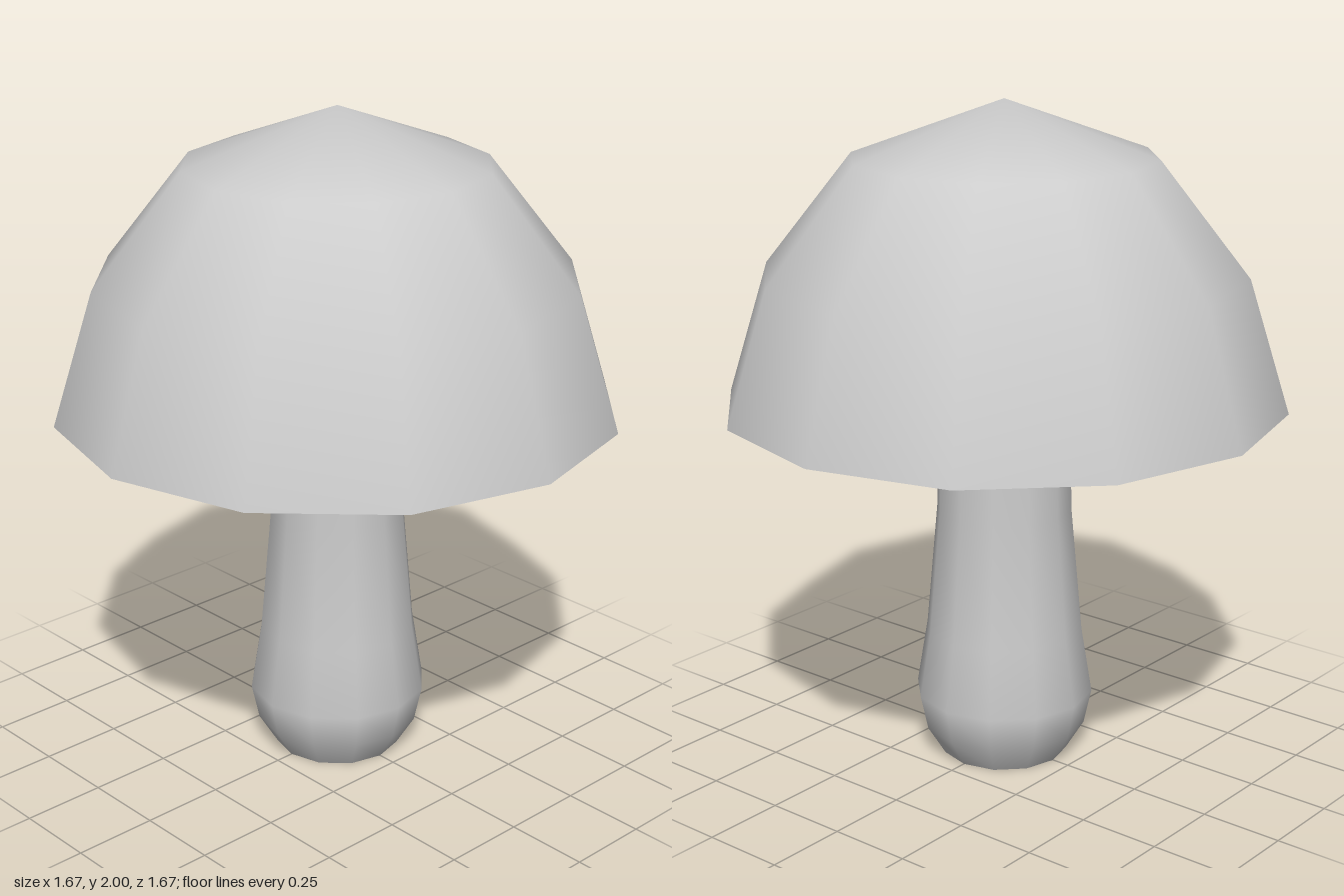
import * as THREE from 'three';

const SIDES = 12;
const RIM = [0.835, 1.107];
const TOP = 2;

export function createModel() {
  const model = new THREE.Group();
  const material = new THREE.MeshStandardMaterial({ color: 0xcccccc });

  const add = (name, geometry) => {
    const mesh = new THREE.Mesh(geometry, material);
    mesh.name = name;
    model.add(mesh);
  };
  // Smooth turned surface from [radius, height] pairs
  const turned = (profile) => {
    const geometry = new THREE.LatheGeometry(profile.map(([r, y]) => new THREE.Vector2(r, y)), SIDES);
    geometry.normalizeNormals();
    return geometry;
  };

  // Domed cap, its tip shaded as a smooth crown
  const dome = turned([RIM, [0.712, 1.502], [0.449, 1.835], [0, TOP]]);
  const { position, normal } = dome.attributes;
  for (let i = 0; i < position.count; i++) {
    if (position.getY(i) === TOP) normal.setXYZ(i, 0, 1, 0);
  }
  add('cap', dome);

  // Shallow hollow under the cap, rising towards the stem
  add('capUnderside', turned([[0, 1.22], RIM]));

  // Stem with a bulbous foot, its top running into the hollow
  add('stem', turned([
    [0.193, 0], [0.248, 0.09], [0.271, 0.197], [0.238, 0.4], [0.204, 0.78], [0.194, 1.22],
  ]));
  add('stemBase', new THREE.CircleGeometry(0.193, SIDES).rotateX(Math.PI / 2));

  return model;
}
